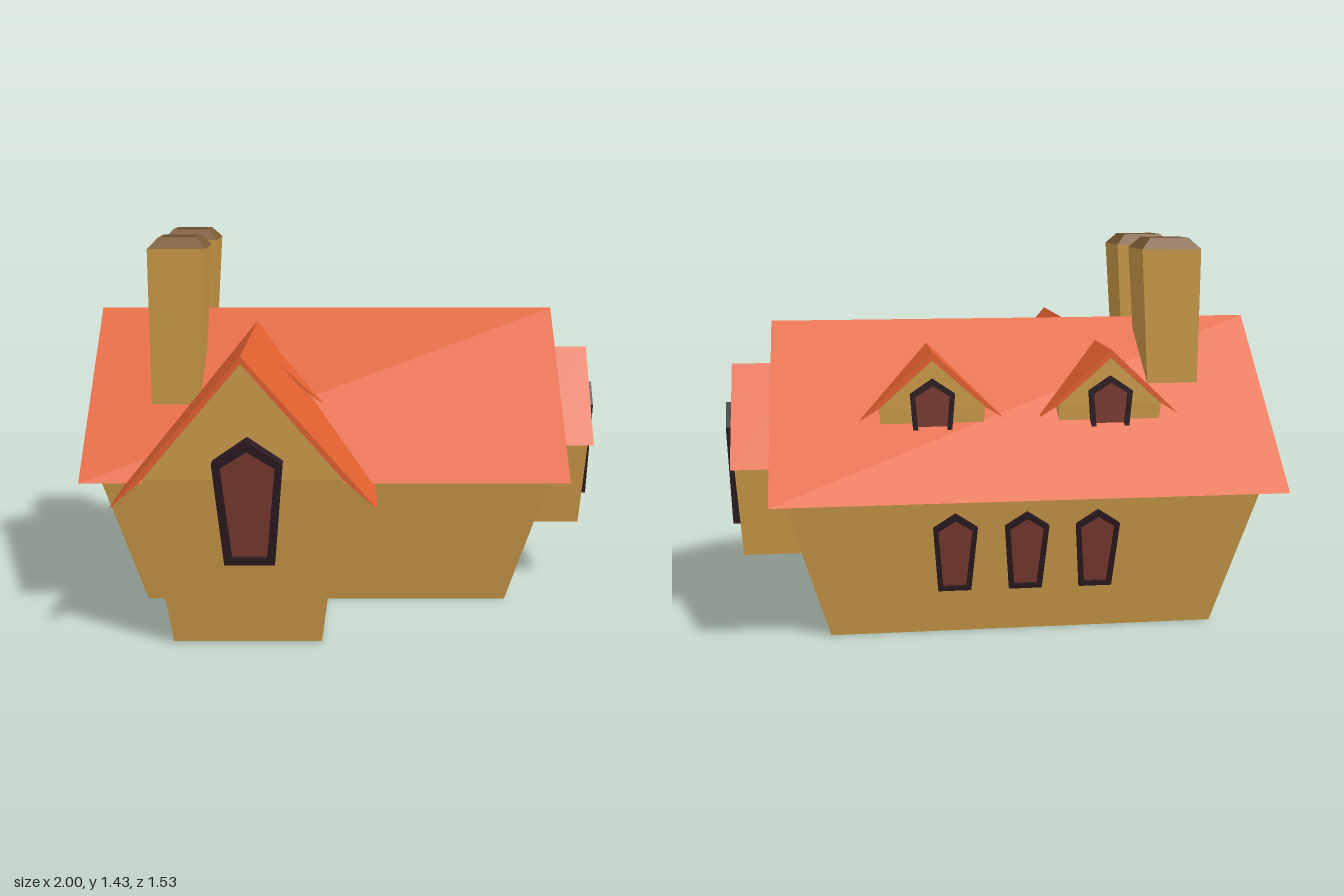
import * as THREE from 'three';

const mat = (color) => new THREE.MeshStandardMaterial({ color, flatShading: true });
const WALL = mat(0xcc9a48);
const ROOF = mat(0xe2602f);
const FRAME = mat(0x2b1a20);
const PANE = mat(0x7a3a30);
const CAP = mat(0x7d5a34);

function mesh(name, geometry, material) {
  const m = new THREE.Mesh(geometry, material);
  m.name = name;
  return m;
}

const outline = (points) => new THREE.Shape(points.map(([x, y]) => new THREE.Vector2(x, y)));

// Prism along z between two depths
function prism(points, z0, z1) {
  return new THREE.ExtrudeGeometry(outline(points), { depth: z1 - z0, bevelEnabled: false }).translate(0, 0, z0);
}

// Box whose bottom and top rectangles differ; each is { y, x: [min, max], z: [min, max] }
function taperedBox(bottom, top) {
  const g = new THREE.BoxGeometry(1, 1, 1);
  const p = g.attributes.position;
  for (let i = 0; i < p.count; i++) {
    const r = p.getY(i) < 0 ? bottom : top;
    p.setXYZ(i, r.x[p.getX(i) < 0 ? 0 : 1], r.y, r.z[p.getZ(i) < 0 ? 0 : 1]);
  }
  g.computeVertexNormals();
  return g;
}

// Flared walls, gable and thin pointed roof, with the ridge along local z.
// base / eave: [half width, y, back z, front z]; roof: [half width, eave y, ridge y, back z, front z]
function gabledBlock(name, base, eave, peak, roof) {
  const g = new THREE.Group();
  g.name = name;
  const rect = ([h, y, z0, z1]) => ({ y, x: [-h, h], z: [z0, z1] });
  const [w, wy, z0, z1] = eave;
  const [rw, ry, ridge, r0, r1] = roof;
  g.add(mesh(name + 'Walls', taperedBox(rect(base), rect(eave)), [WALL, WALL, WALL, ROOF, WALL, WALL]));
  g.add(mesh(name + 'Gable', prism([[-w, wy], [w, wy], [0, peak]], z0, z1), WALL));
  g.add(mesh(name + 'Roof',
    prism([[rw, ry], [0, ridge], [-rw, ry], [-w, wy], [0, peak], [w, wy]], r0, r1), ROOF));
  return g;
}

// Pointed window standing on its local origin and facing +z, leaning with its wall
function pointedWindow(name, top, bottom, height, depth, position, yaw, lean) {
  const g = new THREE.Group();
  g.name = name;
  const pentagon = (t, b, y0, shoulder, apex) =>
    [[-b / 2, y0], [b / 2, y0], [t / 2, shoulder], [0, apex], [-t / 2, shoulder]];
  const e = top * 0.11;
  const outer = outline(pentagon(top, bottom, 0, height * 0.82, height));
  const inner = pentagon(top - 2 * e, bottom - 2 * e, e, height * 0.82 - e * 0.6, height - e * 1.4);
  outer.holes.push(outline(inner));
  const frame = new THREE.ExtrudeGeometry(outer, { depth: depth + 0.02, bevelEnabled: false });
  g.add(mesh(name + 'Frame', frame.translate(0, 0, -0.02), FRAME));
  g.add(mesh(name + 'Pane', new THREE.ShapeGeometry(outline(inner)).translate(0, 0, depth * 0.5), PANE));
  g.position.set(...position);
  g.rotation.set(lean, yaw, 0, 'YXZ');
  return g;
}

// Flared chimney with a bevelled cap and a sunken flue
function chimney(z) {
  const g = new THREE.Group();
  g.name = 'chimney';
  g.add(mesh('chimneyStack', taperedBox(
    { y: 0.72, x: [-0.76, -0.58], z: [z - 0.09, z + 0.09] },
    { y: 1.39, x: [-0.755, -0.535], z: [z - 0.11, z + 0.11] }), WALL));
  const rim = [[0.11, 1.39], [0.072, 1.43], [0.06, 1.43], [0.06, 1.395]]
    .map(([r, y]) => new THREE.Vector2(r * Math.SQRT2, y));
  const cap = mesh('chimneyCap', new THREE.LatheGeometry(rim, 4).rotateY(Math.PI / 4), CAP);
  const flue = mesh('chimneyFlue', new THREE.BoxGeometry(0.13, 0.012, 0.13), FRAME);
  cap.position.set(-0.645, 0, z);
  flue.position.set(-0.645, 1.396, z);
  g.add(cap, flue);
  return g;
}

export function createModel() {
  const house = new THREE.Group();
  house.name = 'house';

  // Main block, ridge along x
  const main = gabledBlock('mainHouse', [0.35, 0, -0.8, 0.62], [0.452, 0.655, -0.995, 0.815], 1.09,
    [0.605, 0.55, 1.12, -1, 0.82]);
  main.rotation.y = Math.PI / 2;
  main.position.z = -0.155;
  house.add(main);

  // Front wing
  const wing = gabledBlock('frontWing', [0.27, 0.005, 0, 0.63], [0.35, 0.64, 0, 0.715], 1.05,
    [0.468, 0.535, 1.075, -0.1, 0.725]);
  wing.position.x = -0.368;
  house.add(wing);
  house.add(pointedWindow('frontWindow', 0.245, 0.178, 0.465, 0.04, [-0.35, 0.33, 0.675], 0, 0.11));

  // Small roof slab in the valley between wing and main roof
  house.add(mesh('valleyRoof', prism([[-0.3, 0.95], [-0.1, 0.8], [-0.28, 0.97]], 0, 0.215), ROOF));

  // Raised bay on the left gable
  const bay = gabledBlock('sideBay', [0.147, 0.255, 0.6, 0.94], [0.185, 0.67, 0.6, 0.967], 0.935,
    [0.25, 0.605, 0.96, 0.7, 0.972]);
  bay.rotation.y = Math.PI / 2;
  bay.position.z = -0.155;
  house.add(bay);
  house.add(pointedWindow('sideWindow', 0.157, 0.12, 0.46, 0.028, [0.955, 0.355, -0.155], Math.PI / 2, 0.035));

  // Rear dormers
  for (const x of [-0.4, 0.245]) {
    const dormer = gabledBlock('dormer', [0.17, 0.62, 0.3, 0.505], [0.19, 0.84, 0.3, 0.515], 1.01,
      [0.255, 0.8, 1.04, 0.24, 0.525]);
    dormer.rotation.y = Math.PI;
    dormer.position.x = x;
    house.add(dormer);
    house.add(pointedWindow('dormerWindow', 0.16, 0.12, 0.3, 0.022, [x, 0.645, -0.513], Math.PI, 0));
  }

  // Rear wall windows
  for (const x of [0.17, -0.09, -0.35]) {
    house.add(pointedWindow('rearWindow', 0.16, 0.12, 0.3, 0.022, [x, 0.17, -0.527], Math.PI, 0.154));
  }

  house.add(chimney(0.1), chimney(-0.3));
  return house;
}
